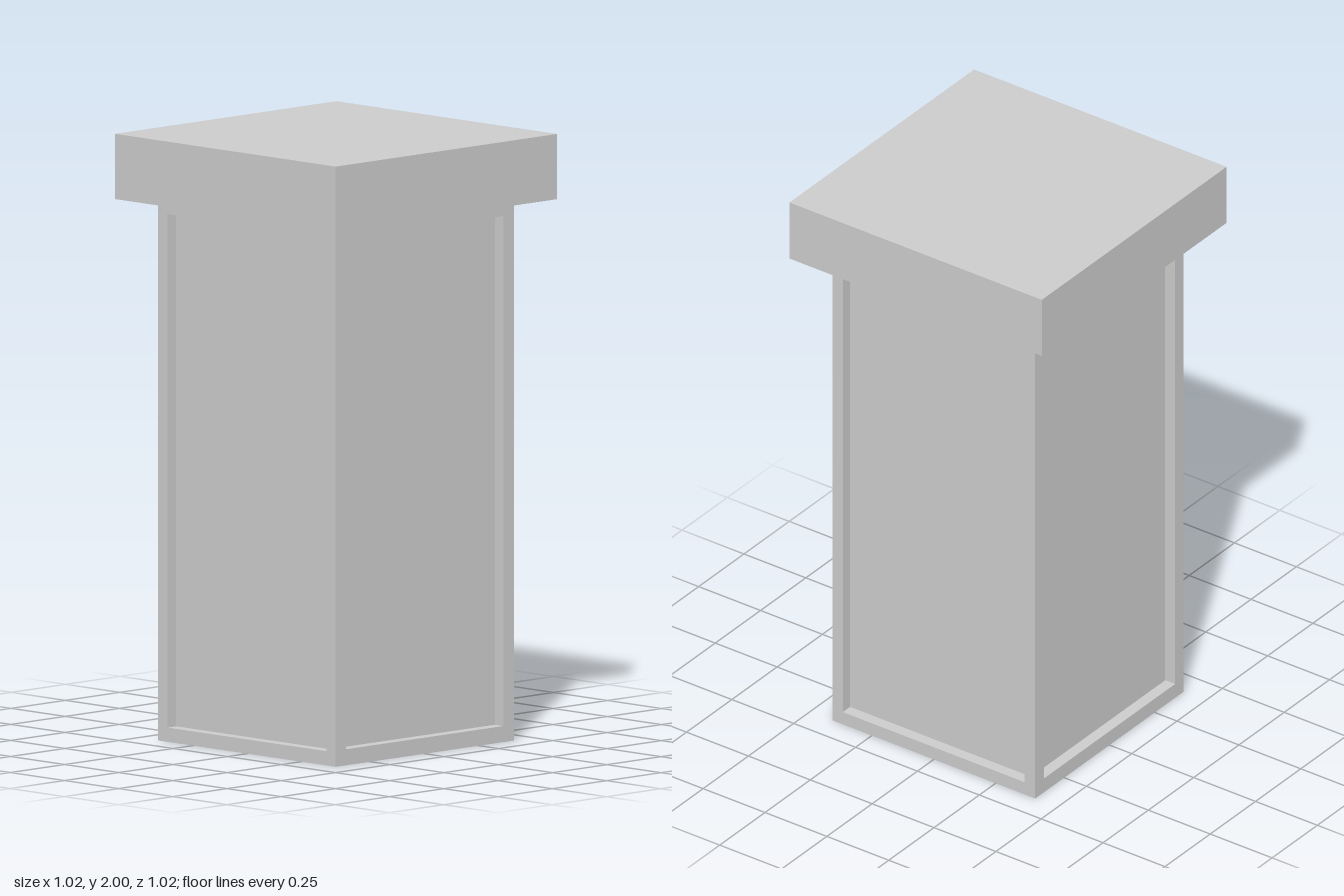
import * as THREE from 'three';

const HALF = 0.41;        // half width of the shaft
const HEIGHT = 1.785;     // shaft height
const CORE = 0.37;        // half width at the recessed panels
const CAP = 0.51;         // half width of the cap
// Panel openings: half width, bottom and top
const FRONT = { w: 0.3625, y0: 0.053, y1: 1.735 };
const SIDE = { w: 0.3675, y0: 0.047, y1: 1.74 };

export function createModel() {
  const group = new THREE.Group();
  const material = new THREE.MeshStandardMaterial({ color: 0xcccccc, flatShading: true });

  // Box given by its lower and upper corners
  function box(name, [x0, y0, z0], [x1, y1, z1]) {
    const mesh = new THREE.Mesh(new THREE.BoxGeometry(x1 - x0, y1 - y0, z1 - z0), material);
    mesh.position.set((x0 + x1) / 2, (y0 + y1) / 2, (z0 + z1) / 2);
    mesh.name = name;
    group.add(mesh);
  }

  // Recessed panels are the faces of the core
  box('recessedPanels', [-CORE, 0, -CORE], [CORE, HEIGHT, CORE]);

  // Overhanging slab on top
  box('cap', [-CAP, HEIGHT, -CAP], [CAP, 2, CAP]);

  const span = (s, a, b) => (s > 0 ? [a, b] : [-b, -a]);
  for (const s of [-1, 1]) {
    // Corner posts
    const [pz0, pz1] = span(s, SIDE.w, HALF);
    for (const t of [-1, 1]) {
      const [px0, px1] = span(t, FRONT.w, HALF);
      box('cornerPost', [px0, 0, pz0], [px1, HEIGHT, pz1]);
    }
    // Bottom and top rails between the posts
    const [r0, r1] = span(s, CORE, HALF);
    const face = s > 0 ? 'front' : 'back';
    const flank = s > 0 ? 'left' : 'right';
    box(face + 'BottomRail', [-FRONT.w, 0, r0], [FRONT.w, FRONT.y0, r1]);
    box(face + 'TopRail', [-FRONT.w, FRONT.y1, r0], [FRONT.w, HEIGHT, r1]);
    box(flank + 'BottomRail', [r0, 0, -SIDE.w], [r1, SIDE.y0, SIDE.w]);
    box(flank + 'TopRail', [r0, SIDE.y1, -SIDE.w], [r1, HEIGHT, SIDE.w]);
  }
  return group;
}
